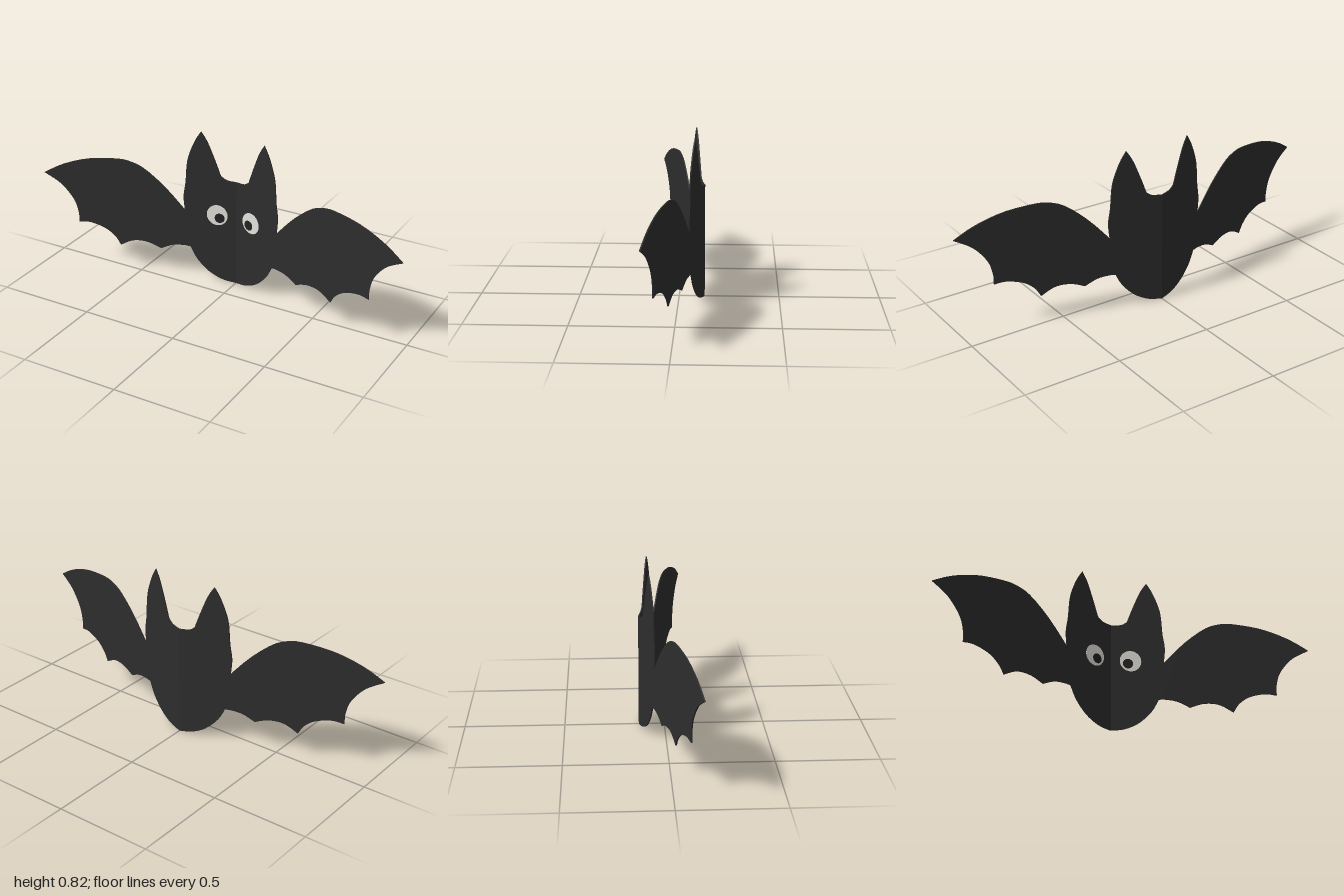
import * as THREE from 'three';

const THICK = 0.006;
const BACK = -0.128; // depth of the centre fold
const SLOPE = 0.25;  // both halves sweep forward from the fold

// Each outline is a list of curves that meet at sharp corners (left half, x > 0).
const BODY = [
  [[0, 0.003], [0.07, 0.015], [0.14, 0.052], [0.2, 0.115], [0.235, 0.182]],
  [[0.235, 0.182], [0.262, 0.385]],
  [[0.262, 0.385], [0.268, 0.464], [0.257, 0.545], [0.246, 0.667], [0.211, 0.768], [0.177, 0.827]],
  [[0.177, 0.827], [0.145, 0.773], [0.107, 0.677], [0.08, 0.6]],
  [[0.08, 0.6], [0.05, 0.58], [0, 0.574]],
];
const WING = [
  [[0.262, 0.385], [0.364, 0.5], [0.47, 0.59], [0.546, 0.622], [0.62, 0.628], [0.765, 0.61], [0.9, 0.563], [1, 0.505]],
  [[1, 0.505], [0.915, 0.453], [0.85, 0.373], [0.827, 0.3], [0.825, 0.244]],
  [[0.825, 0.244], [0.765, 0.248], [0.685, 0.224], [0.632, 0.182], [0.605, 0.138]],
  [[0.605, 0.138], [0.535, 0.174], [0.46, 0.175], [0.39, 0.149]],
  [[0.39, 0.149], [0.327, 0.178], [0.268, 0.185], [0.235, 0.182]],
];

function outline(curves, side) {
  const points = [];
  for (const c of curves) {
    const v = c.map(([x, y]) => new THREE.Vector2(x * side, y));
    const p = v.length > 2 ? new THREE.SplineCurve(v).getPoints(20) : v;
    points.push(...p.slice(0, -1));
    if (c === curves[curves.length - 1]) points.push(p[p.length - 1]);
  }
  if (points[0].distanceTo(points[points.length - 1]) < 1e-6) points.pop();
  return new THREE.Shape(points);
}

function disc(x, y, rx, ry, side) {
  const shape = new THREE.Shape();
  shape.absellipse(x * side, y, rx, ry, 0, Math.PI * 2);
  return shape;
}

// Extrude a flat shape and lean it onto one half of the folded sheet
function plate(name, shape, material, depth, offset) {
  const geometry = new THREE.ExtrudeGeometry(shape, { depth, bevelEnabled: false, curveSegments: 20 });
  const p = geometry.attributes.position;
  for (let i = 0; i < p.count; i++) {
    p.setZ(i, p.getZ(i) + offset + BACK + SLOPE * Math.abs(p.getX(i)));
  }
  geometry.computeVertexNormals();
  const mesh = new THREE.Mesh(geometry, material);
  mesh.name = name;
  return mesh;
}

export function createModel() {
  const group = new THREE.Group();
  group.name = 'bat';
  const mat = (name, color) => {
    const m = new THREE.MeshStandardMaterial({ color });
    m.name = name;
    return m;
  };
  const black = mat('batBlack', 0x2d2d2d);
  const white = mat('eyeWhite', 0xe4e3dc);
  const dark = mat('pupilBlack', 0x222222);

  for (const [label, side] of [['left', 1], ['right', -1]]) {
    group.add(
      plate(label + 'BodyAndEar', outline(BODY, side), black, THICK, 0),
      plate(label + 'Wing', outline(WING, side), black, THICK, 0),
      plate(label + 'Eye', disc(0.096, 0.381, 0.053, 0.056, side), white, 0.0015, THICK),
      plate(label + 'Pupil', disc(0.083, 0.366, 0.025, 0.026, side), dark, 0.0015, THICK + 0.0015),
    );
  }
  return group;
}
